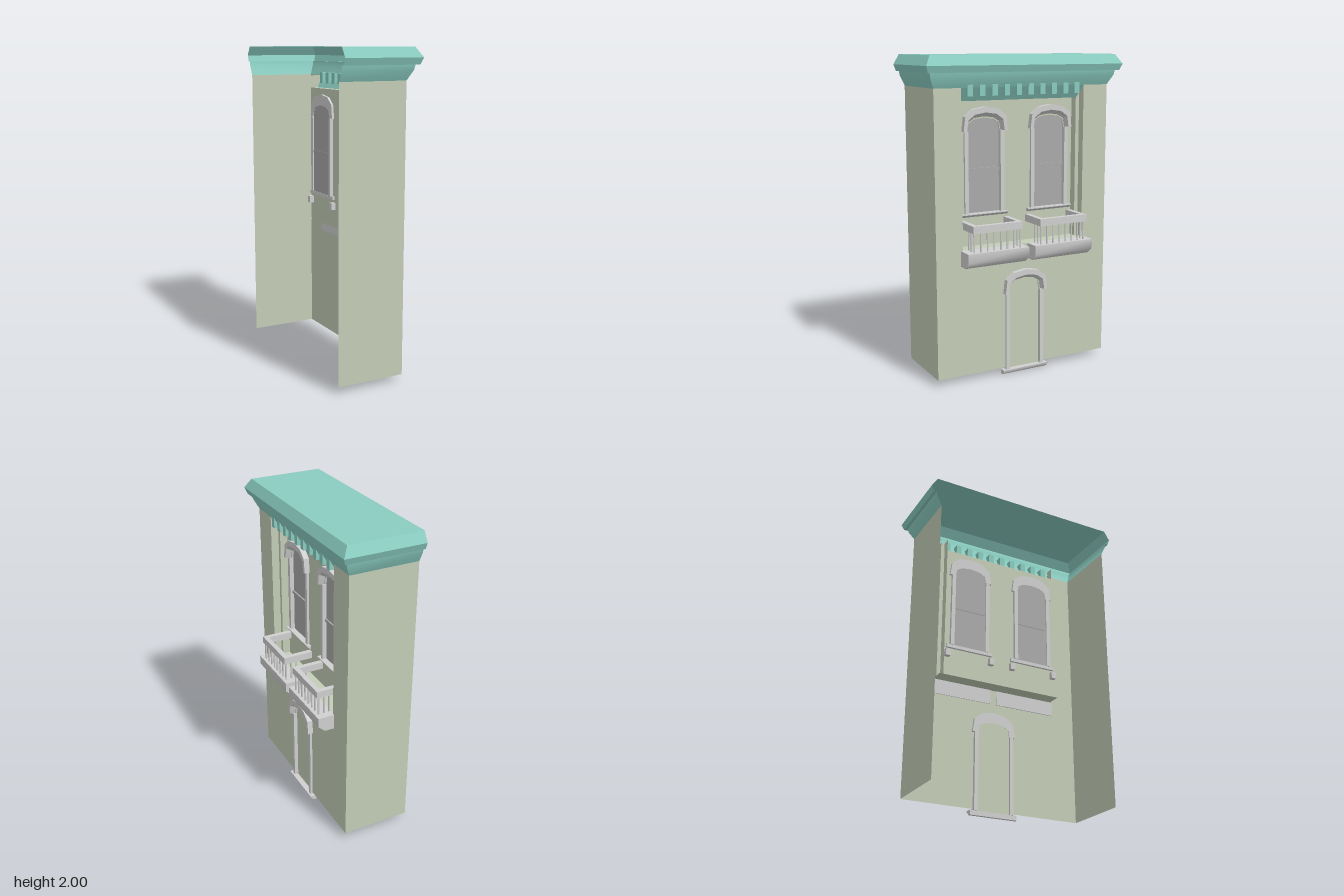
import * as THREE from 'three';
import { toCreasedNormals } from 'three/addons/utils/BufferGeometryUtils.js';

const mat = (name, color) => {
  const m = new THREE.MeshStandardMaterial({ color, side: THREE.DoubleSide });
  m.name = name;
  return m;
};
const WALL_X = 0.165, RECESS_X = 0.065, BACK_X = -0.275;

export function createModel() {
  const model = new THREE.Group();
  model.name = 'townhouseFacade';
  const wall = mat('sage wall', 0xc3cdb7);
  const teal = mat('teal cornice', 0x8accc0);
  const trim = mat('light grey trim', 0xcfcfcf);
  const glass = mat('grey glass', 0xa9a9a9);

  const add = (name, geo, m, parent = model) => {
    const mesh = new THREE.Mesh(geo, m);
    mesh.name = name;
    parent.add(mesh);
    return mesh;
  };
  // box given by its min and max on each axis
  const box = (name, m, x0, x1, y0, y1, z0, z1, parent) =>
    add(name, new THREE.BoxGeometry(x1 - x0, y1 - y0, z1 - z0), m, parent)
      .position.set((x0 + x1) / 2, (y0 + y1) / 2, (z0 + z1) / 2);

  // joins a row of cross-sections with quads, optionally closing and capping them
  const loft = (sections, closed = false, crease = 0.1) => {
    const pos = [];
    const quad = (a, b, c, d) => pos.push(...a, ...b, ...c, ...a, ...c, ...d);
    const n = sections[0].length;
    for (let i = 0; i < sections.length - 1; i++) {
      const s = sections[i], t = sections[i + 1];
      for (let j = 0; j < (closed ? n : n - 1); j++) {
        const k = (j + 1) % n;
        quad(s[j], s[k], t[k], t[j]);
      }
    }
    if (closed) {
      quad(...sections[0]);
      quad(...[...sections[sections.length - 1]].reverse());
    }
    const g = new THREE.BufferGeometry();
    g.setAttribute('position', new THREE.Float32BufferAttribute(pos, 3));
    g.computeVertexNormals();
    return toCreasedNormals(g, crease);
  };
  // flat outline in (z, y) turned to face +x
  const facing = (shape, x) => new THREE.ShapeGeometry(shape).rotateY(Math.PI / 2).translate(x, 0, 0);
  const outline = pts => pts.map(([z, y]) => new THREE.Vector2(-z, y));
  // (x, y) profile swept along z
  const sweep = (pts, z0, z1) => {
    const g = new THREE.ExtrudeGeometry(new THREE.Shape(pts.map(p => new THREE.Vector2(...p))),
      { depth: z1 - z0, bevelEnabled: false }).translate(0, 0, z0);
    return toCreasedNormals(g, 0.9);
  };

  // blunt unit arch, from +z spring to -z spring
  const half = [[1, 0], [0.92, 0.61], [0.57, 0.9]];
  const unitArch = [...half, [0, 1], ...half.map(([z, y]) => [-z, y]).reverse()];
  const archPts = (z0, spring, a, h) => unitArch.map(([z, y]) => [z0 + z * a, spring + y * h]);
  const openingPts = (z0, base, spring) =>
    outline([[z0 + 0.11, base], ...archPts(z0, spring, 0.11, 0.078), [z0 - 0.11, base]]);

  // side walls
  for (const s of [1, -1]) {
    add('sideWall', loft([
      [[BACK_X, 0.04, s * 0.6], [BACK_X, 1.81, s * 0.6]],
      [[WALL_X, 0.04, s * 0.6], [WALL_X, 1.81, s * 0.6]],
    ]), wall);
  }

  // front wall around the tall recess, with the door opening
  const front = new THREE.Shape(outline([[0.6, 0.04], [0.6, 1.81], [0.425, 1.81], [0.425, 0.835],
    [-0.425, 0.835], [-0.425, 1.81], [-0.6, 1.81], [-0.6, 0.04]]));
  front.holes.push(new THREE.Path(openingPts(0, 0.041, 0.53)));
  add('frontWall', facing(front, WALL_X), wall);

  // stepped recess: sides, floor, soffit and back wall
  const stepX = 0.115;
  for (const s of [1, -1]) {
    const path = [[WALL_X, 0.425], [stepX, 0.425], [stepX, 0.4], [RECESS_X, 0.4]];
    add('recessSide', loft(path.map(([x, z]) => [[x, 0.835, s * z], [x, 1.81, s * z]])), wall);
  }
  const flat = (y, x0, x1, z) => loft([[[x0, y, z], [x0, y, -z]], [[x1, y, z], [x1, y, -z]]]);
  add('recessFloor', flat(0.835, RECESS_X, WALL_X, 0.425), wall);
  add('recessSoffit', flat(1.73, RECESS_X, stepX, 0.4), wall);
  const back = new THREE.Shape(outline([[0.4, 0.835], [0.4, 1.73], [-0.4, 1.73], [-0.4, 0.835]]));
  for (const z of [0.23, -0.23]) back.holes.push(new THREE.Path(openingPts(z, 1.04, 1.545)));
  add('recessBackWall', facing(back, RECESS_X), wall);

  // cornice moulding mitred round three sides: [offset, height]
  const profile = [[0, 1.81], [0.03, 1.87], [0.036, 1.9], [0.055, 1.9], [0.07, 1.94], [0.033, 2]];
  const corners = [[0, 1], [1, 1], [1, -1], [0, -1]];
  add('cornice', loft(corners.map(([f, s]) => profile.map(([o, y]) =>
    [f ? WALL_X + o : BACK_X, y, s * (0.6 + o)])), false, 0.9), teal);
  add('roof', flat(2, BACK_X, WALL_X + 0.033, 0.633), teal);

  // sloping band under the cornice with a row of dentils
  add('dentilBand', loft([
    [[WALL_X, 1.81, 0.43], [WALL_X, 1.81, -0.43]],
    [[stepX, 1.73, 0.4], [stepX, 1.73, -0.4]],
  ]), teal);
  for (let i = 0; i < 10; i++) {
    const z = 0.37 - i * 0.0822;
    box('dentil', teal, 0.125, 0.174, 1.76, 1.83, z - 0.018, z + 0.018);
  }

  // arched surround: hood, jambs and a sill that tapers underneath
  const surround = (name, z0, base, spring, x, sillH) => {
    const g = new THREE.Group();
    g.name = name;
    model.add(g);
    const rings = [[x - 0.015, 0.15, 0.147], [x + 0.035, 0.15, 0.147],
      [x + 0.035, 0.128, 0.112], [x - 0.015, 0.11, 0.076]]
      .map(([rx, a, h]) => archPts(z0, spring, a, h).map(([z, y]) => [rx, y, z]));
    add('hood', loft(unitArch.map((_, i) => rings.map(r => r[i])), true), trim, g);
    for (const s of [1, -1]) {
      const a = z0 + s * 0.11, b = z0 + s * 0.135;
      box('jamb', trim, x - 0.02, x + 0.015, base, spring, Math.min(a, b), Math.max(a, b), g);
    }
    add('sill', sweep([[x - 0.015, base - sillH], [x + 0.005, base - sillH], [x + 0.028, base - 0.006],
      [x + 0.028, base], [x - 0.015, base]], z0 - 0.16, z0 + 0.16), trim, g);
    return g;
  };

  // door
  const door = surround('door', 0, 0.03, 0.53, WALL_X, 0.03);
  add('doorPanel', facing(new THREE.Shape(openingPts(0, 0.03, 0.53)), WALL_X - 0.01), wall, door);

  for (const z0 of [0.23, -0.23]) {
    // window
    const win = surround('window', z0, 1.04, 1.545, RECESS_X, 0.022);
    add('pane', facing(new THREE.Shape(openingPts(z0, 1.04, 1.545)), RECESS_X - 0.012), glass, win);
    box('meetingRail', glass, RECESS_X - 0.015, RECESS_X - 0.002, 1.3, 1.317, z0 - 0.11, z0 + 0.11, win);

    // balcony
    const balcony = new THREE.Group();
    balcony.name = 'balcony';
    model.add(balcony);
    add('balconyBase', sweep([[0.16, 0.74], [0.225, 0.74], [0.27, 0.778], [0.27, 0.837], [0.16, 0.837]],
      z0 - 0.208, z0 + 0.208), trim, balcony);
    box('frontRail', trim, 0.228, 0.26, 0.955, 1, z0 - 0.169, z0 + 0.169, balcony);
    const post = (x, z) =>
      add('baluster', new THREE.CylinderGeometry(0.006, 0.006, 0.12, 6), trim, balcony).position.set(x, 0.896, z);
    for (let i = 0; i < 8; i++) post(0.245, z0 - 0.157 + i * 0.0449);
    for (const s of [1, -1]) {
      const z = z0 + s * 0.153;
      box('sideRail', trim, 0.035, 0.23, 0.955, 1, z - 0.016, z + 0.016, balcony);
      for (const x of [0.172, 0.208]) post(x, z0 + s * 0.157);
    }
  }
  return model;
}
